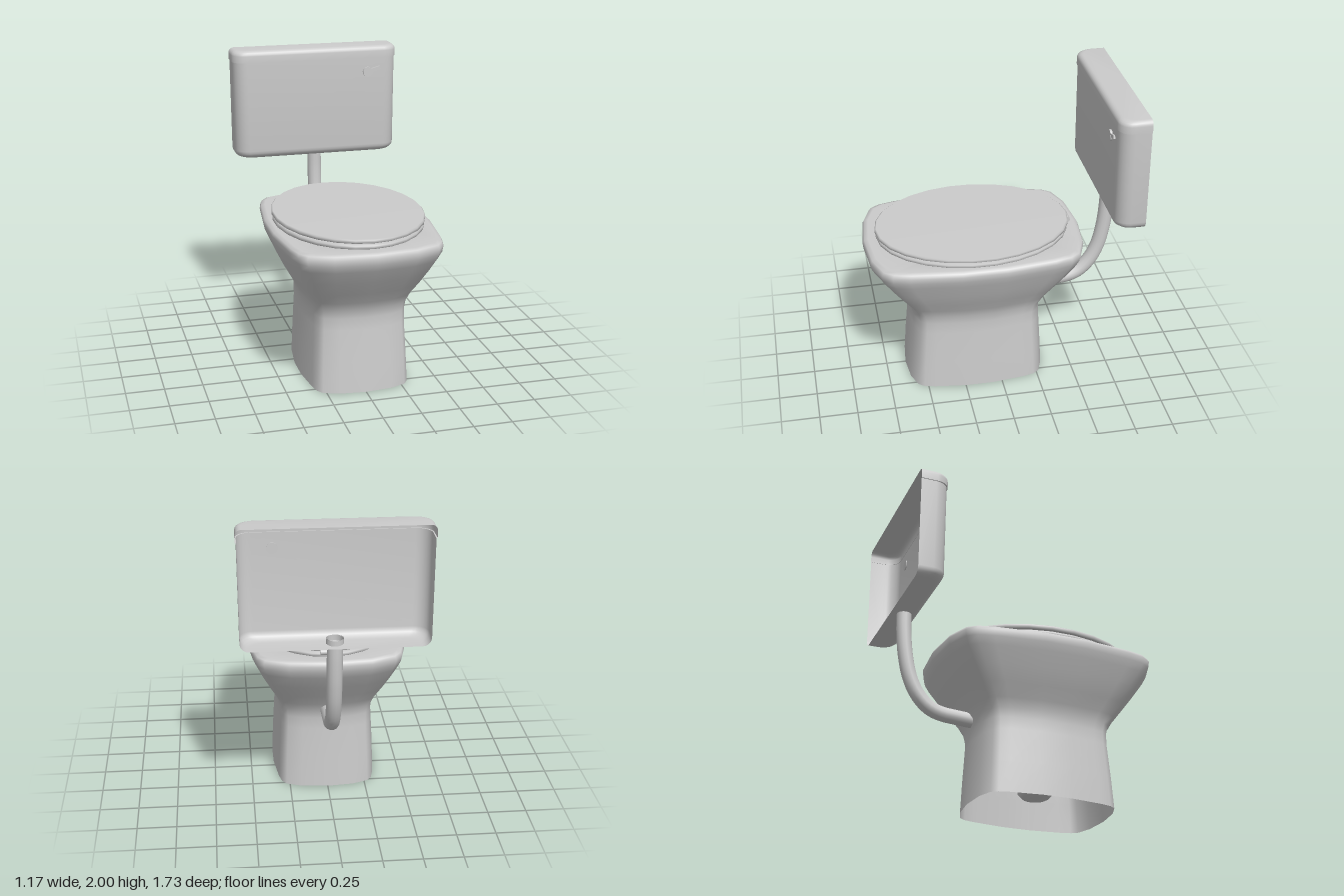
import * as THREE from 'three';
import { toCreasedNormals } from 'three/addons/utils/BufferGeometryUtils.js';

const material = new THREE.MeshStandardMaterial({ color: 0xcccccc, side: THREE.DoubleSide });

function part(name, geometry, parent) {
  const mesh = new THREE.Mesh(geometry, material);
  mesh.name = name;
  parent.add(mesh);
  return mesh;
}

// Skin a list of rings; each ring is a list of [x, y, z].
function loft(rings, closed) {
  const n = rings[0].length;
  const index = [];
  for (let i = 0; i < rings.length - 1; i++) {
    for (let j = 0; j < (closed ? n : n - 1); j++) {
      const k = (j + 1) % n;
      const a = i * n + j, b = i * n + k, c = a + n, d = b + n;
      index.push(a, b, d, a, d, c);
    }
  }
  const g = new THREE.BufferGeometry();
  g.setAttribute('position', new THREE.Float32BufferAttribute(rings.flat(2), 3));
  g.setIndex(index);
  g.computeVertexNormals();
  return g;
}

// Unit outline of the bowl: a rounded, slightly pointed rectangle.
function bowlOutline() {
  const q = [[0.5, 0.965], [0.79, 0.885], [0.875, 0.8], [0.925, 0.65], [1, 0.2]];
  const back = q.map(([x, z]) => [x, -z]).reverse();
  const side = [...q, ...back];
  const mirrored = side.map(([x, z]) => [-x, z]).reverse();
  return [[0, 1], ...side, [0, -1], ...mirrored];
}

// Ring of the bowl; round = 1 turns the outline into an ellipse.
function bowlRing([y, hx, front, back, round = 0]) {
  const hz = (front - back) / 2, cz = (front + back) / 2;
  return bowlOutline().map(([x, z]) => {
    const s = 1 + (1 / Math.hypot(x, z) - 1) * round;
    return [x * s * hx, y, z * s * hz + cz];
  });
}

// U-shaped ring of the cistern, open at the back.
const BACK = -0.865;
function tankRing(y, hw, front, r) {
  const pts = [[-hw, y, BACK]];
  for (const side of [-1, 1]) {
    for (let i = 0; i <= 6; i++) {
      const a = (side < 0 ? i : 6 - i) / 6 * Math.PI / 2;
      pts.push([side * (hw - r + r * Math.cos(a)), y, front - r + r * Math.sin(a)]);
    }
  }
  pts.push([hw, y, BACK]);
  return pts;
}
const tankCentre = (y) => Array.from({ length: 16 }, () => [0, y, BACK]);

// Oval disc or ring turned from a [radius, y] profile.
function oval(profile, hx, hz) {
  const g = new THREE.LatheGeometry(profile.map(([r, y]) => new THREE.Vector2(r, y)), 26);
  return g.scale(hx, 1, hz).translate(0, 0, 0.143);
}

export function createModel() {
  const model = new THREE.Group();
  model.name = 'toilet';

  // Pedestal, rim and inner basin in one skin: y, half width, front z, back z, roundness
  const levels = [
    [0, 0.345, 0.62, -0.32], [0.2, 0.337, 0.605, -0.31], [0.42, 0.325, 0.585, -0.297],
    [0.5, 0.325, 0.583, -0.297], [0.56, 0.333, 0.595, -0.31], [0.62, 0.357, 0.63, -0.345],
    [0.7, 0.405, 0.69, -0.4], [0.8, 0.455, 0.765, -0.475], [0.9, 0.5, 0.835, -0.545],
    [0.95, 0.522, 0.862, -0.57], [0.99, 0.53, 0.867, -0.578], [1.012, 0.52, 0.855, -0.568],
    [1.022, 0.495, 0.83, -0.545], [1.022, 0.38, 0.65, -0.36, 1], [0.97, 0.36, 0.63, -0.33, 1],
    [0.75, 0.29, 0.52, -0.22, 1], [0.5, 0.18, 0.36, -0.08, 1], [0.3, 0.13, 0.27, 0.02, 1],
    [0.13, 0.12, 0.26, 0.03, 1], [0.1, 0.09, 0.23, 0.06, 1], [0.1, 0, 0.145, 0.145, 1],
  ];
  part('bowl', loft(levels.map(bowlRing), true), model);

  // Seat and lid
  part('seat', oval([[0.7, 1.02], [0.97, 1.02], [0.99, 1.028], [0.99, 1.045], [0.97, 1.055],
    [0.7, 1.055], [0.7, 1.02]], 0.49, 0.642), model);
  part('lid', oval([[0, 1.06], [0.98, 1.06], [1, 1.066], [1, 1.083], [0.985, 1.09], [0, 1.09]],
    0.49, 0.642), model);
  const hinge = part('hinge', new THREE.CylinderGeometry(0.02, 0.02, 0.115, 10), model);
  hinge.rotation.z = Math.PI / 2;
  hinge.position.set(0.005, 1.06, -0.49);

  // Cistern shell and its cover
  const tank = new THREE.Group();
  tank.name = 'cistern';
  model.add(tank);
  const shell = [tankCentre(1.24)];
  for (let i = 0; i <= 5; i++) {
    const a = i / 5 * Math.PI / 2, inset = 0.055 * (1 - Math.sin(a));
    shell.push(tankRing(1.295 - 0.055 * Math.cos(a), 0.573 - inset, -0.674 - inset, 0.09));
  }
  shell.push(tankRing(1.92, 0.578, -0.672, 0.09));
  part('cisternBody', toCreasedNormals(loft(shell, false), 0.7), tank);

  const cover = [tankRing(1.92, 0.576, -0.674, 0.09), tankRing(1.92, 0.584, -0.667, 0.09)];
  for (let i = 0; i <= 5; i++) {
    const a = i / 5 * Math.PI / 2, inset = 0.035 * (1 - Math.cos(a));
    cover.push(tankRing(1.965 + 0.035 * Math.sin(a), 0.584 - inset, -0.667 - inset, 0.09));
  }
  cover.push(tankCentre(2));
  part('cisternCover', toCreasedNormals(loft(cover, false), 0.7), tank);

  // Flush handle: round boss and short lever
  const boss = part('handleBoss', new THREE.CylinderGeometry(0.035, 0.035, 0.02, 16), tank);
  boss.rotation.x = Math.PI / 2;
  boss.position.set(0.365, 1.82, -0.668);
  const lever = part('handleLever', new THREE.BoxGeometry(0.075, 0.024, 0.012), tank);
  lever.rotation.z = 0.27;
  lever.position.set(0.417, 1.837, -0.665);

  // Flush pipe, rising through the cistern floor
  const path = new THREE.CatmullRomCurve3([
    [1.275, -0.775], [1.12, -0.772], [0.95, -0.755], [0.8, -0.72], [0.69, -0.665],
    [0.615, -0.59], [0.583, -0.51], [0.573, -0.41], [0.565, -0.3],
  ].map(([y, z]) => new THREE.Vector3(0, y, z)));
  part('flushPipe', new THREE.TubeGeometry(path, 28, 0.049, 14), model);
  const collar = part('pipeCollar', new THREE.CylinderGeometry(0.055, 0.055, 0.03, 14, 1, true), model);
  collar.position.set(0, 1.26, -0.775);

  return model;
}
